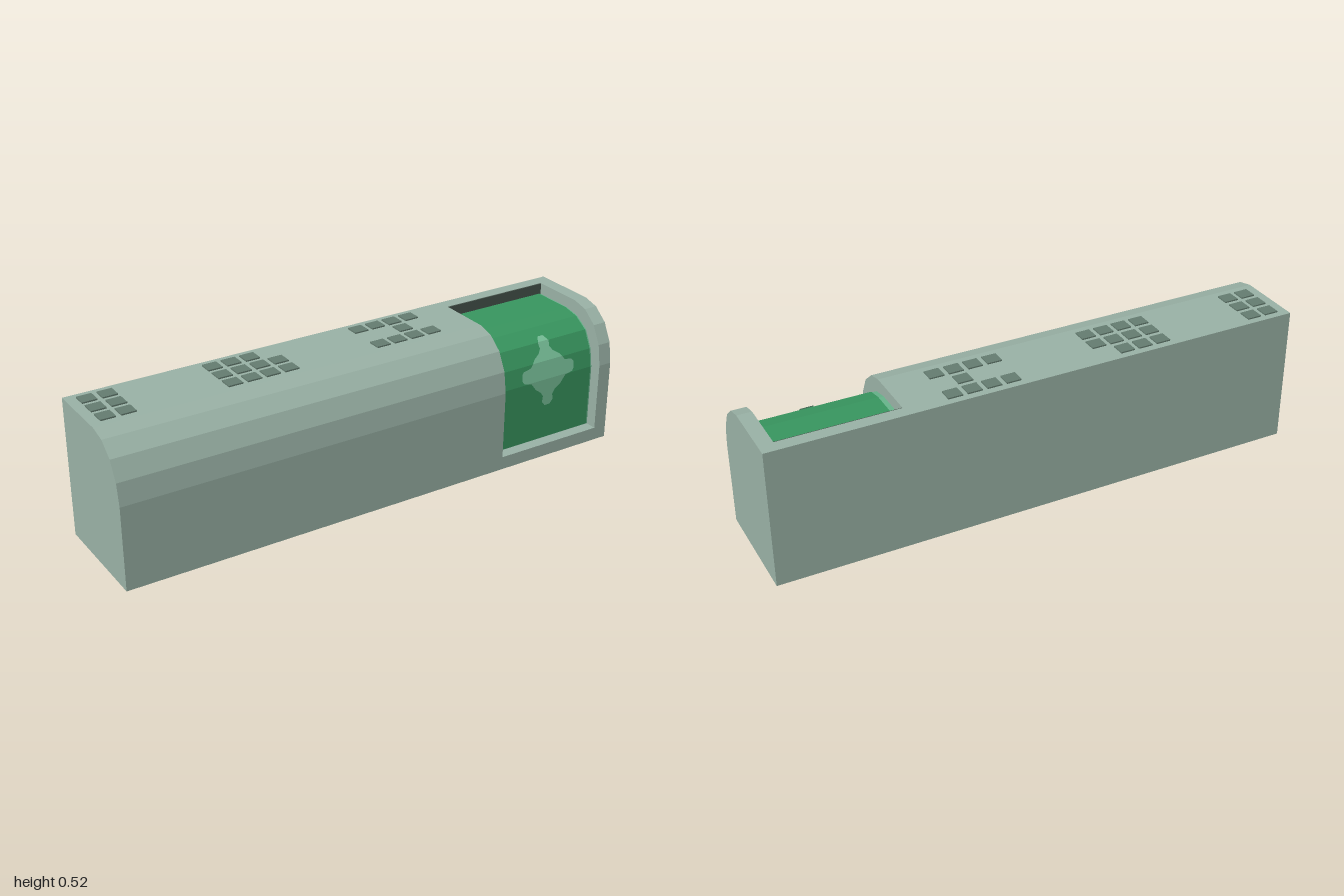
import * as THREE from 'three';

const mat = (name, color, side = THREE.FrontSide) => {
  const m = new THREE.MeshStandardMaterial({ color, side });
  m.name = name;
  return m;
};

// Cross-sections as [z, y]
const outerCurve = [[0.208, 0.31], [0.195, 0.39], [0.16, 0.458], [0.105, 0.503], [0.045, 0.518]];
const innerCurve = [[0.163, 0.05], [0.163, 0.29], [0.151, 0.36], [0.118, 0.425], [0.063, 0.461], [0, 0.474], [-0.16, 0.474]];
const fullProfile = [[-0.208, 0], [0.208, 0], ...outerCurve, [-0.208, 0.518]];
const notchProfile = [[-0.208, 0], [0.208, 0], [0.208, 0.05], ...innerCurve, [-0.16, 0.518], [-0.208, 0.518]];

// Solid with a constant cross-section between x0 and x1
function prism(profile, x0, x1) {
  const shape = new THREE.Shape(profile.map(([z, y]) => new THREE.Vector2(z, y)));
  const g = new THREE.ExtrudeGeometry(shape, { depth: x1 - x0, bevelEnabled: false });
  return g.rotateY(-Math.PI / 2).translate(x1, 0, 0);
}

// Faceted skin through rows of [z, y, halfWidth], lifted slightly off its base
function skin(rows, cx, lift) {
  const pos = [];
  for (let i = 0; i < rows.length - 1; i++) {
    const [a, b] = [rows[i], rows[i + 1]];
    const p = (r, s) => [cx + s * r[2], r[1] + lift, r[0] + lift];
    pos.push(...p(a, -1), ...p(a, 1), ...p(b, 1), ...p(a, -1), ...p(b, 1), ...p(b, -1));
  }
  const g = new THREE.BufferGeometry();
  g.setAttribute('position', new THREE.Float32BufferAttribute(pos, 3));
  g.computeVertexNormals();
  return g;
}

// Linear lookup in a list of ascending [key, value] pairs
function lookup(pairs, k) {
  for (let i = 0; i < pairs.length - 1; i++) {
    const [k0, v0] = pairs[i], [k1, v1] = pairs[i + 1];
    if (k >= k0 && k <= k1 && k1 > k0) return v0 + (v1 - v0) * (k - k0) / (k1 - k0);
  }
  return 0;
}

export function createModel() {
  const group = new THREE.Group();
  const casing = mat('casing grey green', 0x9ab2a6);
  const dark = mat('recess dark', 0x46544c);
  const key = mat('key grey', 0x657d71);
  const green = mat('screen green', 0x38965f, THREE.DoubleSide);
  const glow = mat('screen border green', 0x67b48b, THREE.DoubleSide);
  const pale = mat('emblem pale green', 0x78c099, THREE.DoubleSide);
  const add = (name, geometry, material, parent = group) => {
    const m = new THREE.Mesh(geometry, material);
    m.name = name;
    parent.add(m);
    return m;
  };

  // Casing, notched where the screen sits
  const x0 = 0.507, x1 = 0.947, cx = (x0 + x1) / 2;
  add('mainCasing', prism(fullProfile, -1, x0), casing);
  add('screenBay', prism(notchProfile, x0, x1), casing);
  add('endCasing', prism(fullProfile, x1, 1), casing);
  add('recessBackWall', new THREE.BoxGeometry(x1 - x0, 0.042, 0.004).translate(cx, 0.496, -0.158), dark);

  // Curved screen
  const rows = w => innerCurve.map(([z, y]) => [z, y, w]);
  add('screenBorder', skin(rows((x1 - x0) / 2), cx, 0.001), glow);
  add('screen', skin(rows(0.207), 0.733, 0.003), green);

  // Four-armed emblem wrapped over the screen
  const half = [[0, 0.12], [0.012, 0.12], [0.022, 0.112], [0.028, 0.08], [0.04, 0.07], [0.055, 0.057],
    [0.07, 0.033], [0.085, 0.022], [0.105, 0.025], [0.12, 0.012]];
  const cy = 0.318;
  const widths = [
    ...half.slice(1).reverse().map(([d, w]) => [cy - d * 1.12, w]),
    ...half.map(([d, w]) => [cy + d, w]),
  ];
  const depth = innerCurve.slice(0, 6).map(([z, y]) => [y, z]);
  const low = widths[0][0], high = widths[widths.length - 1][0];
  const levels = [...widths.map(w => w[0]), ...depth.map(d => d[0])]
    .filter(y => y >= low && y <= high).sort((a, b) => a - b);
  add('emblem', skin(levels.map(y => [lookup(depth, y), y, lookup(widths, y)]), 0.737, 0.006), pale);

  // Key clusters on the roof, rows from back to front
  const clusters = [
    [-0.935, ['##', '##', '##']],
    [-0.477, ['### ', '####', '####']],
    [0.11, ['####', '  # ', '####']],
  ];
  const keyGeometry = new THREE.BoxGeometry(0.054, 0.008, 0.051);
  clusters.forEach(([startX, pattern], n) => {
    const cluster = new THREE.Group();
    cluster.name = `keyCluster${n + 1}`;
    pattern.forEach((line, r) => [...line].forEach((c, i) => {
      if (c === '#') add('key', keyGeometry, key, cluster).position.set(startX + i * 0.072, 0.519, -0.156 + r * 0.0725);
    }));
    group.add(cluster);
  });
  return group;
}
